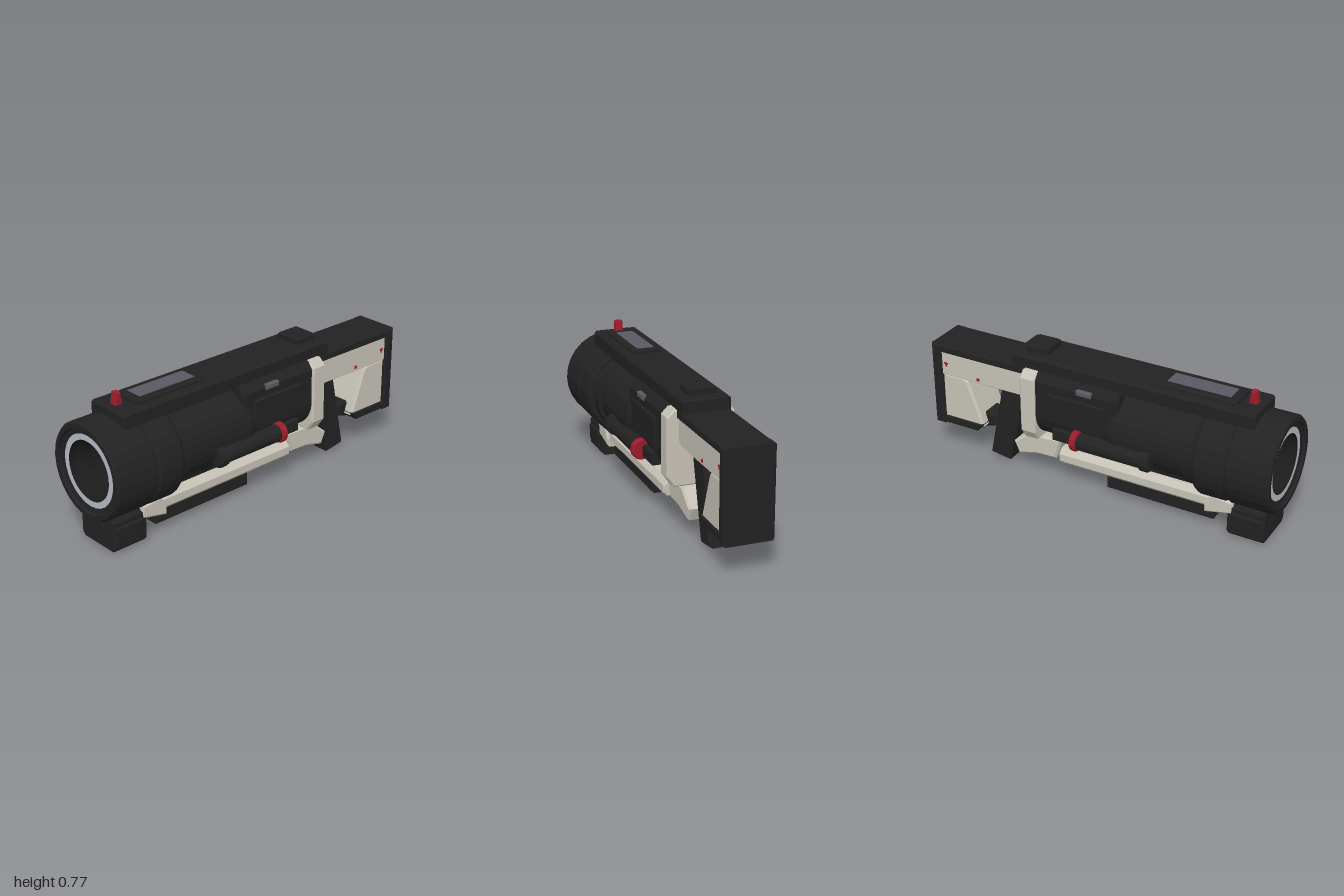
import * as THREE from 'three';

const mat = (name, color) => {
  const m = new THREE.MeshStandardMaterial({ color });
  m.name = name;
  return m;
};

export function createModel() {
  const root = new THREE.Group();
  root.name = 'launcher';
  const black = mat('black', 0x222222);
  const dark = mat('dark black', 0x1b1b1c);
  const cream = mat('cream', 0xc6c2b6);
  const red = mat('red', 0x9c1c2b);
  const silver = mat('silver', 0xb8bfc9);
  const grey = mat('grey', 0x5a5862);

  const add = (name, geo, material) => {
    const m = new THREE.Mesh(geo, material);
    m.name = name;
    root.add(m);
    return m;
  };

  // Extrusion of an outline, centred in depth, with an optional chamfer kept inside the outline
  const extrude = (pts, depth, b) => {
    const shape = new THREE.Shape(pts.map(p => new THREE.Vector2(p[0], p[1])));
    const g = new THREE.ExtrudeGeometry(shape, {
      depth: depth - 2 * b, bevelEnabled: b > 0, bevelSize: b, bevelOffset: -b,
      bevelThickness: b, bevelSegments: 1, curveSegments: 1,
    });
    return g.translate(0, 0, -(depth - 2 * b) / 2);
  };
  // Side profile given as [z, y], spanning x0..x1
  const side = (name, pts, x0, x1, material, b = 0.008) =>
    add(name, extrude(pts, x1 - x0, b).rotateY(-Math.PI / 2).translate((x0 + x1) / 2, 0, 0), material);
  // Cross-section given as the right half [x, y], spanning z0..z1
  const section = (name, half, z0, z1, material, b = 0.008) => {
    const pts = [...half, ...half.map(p => [-p[0], p[1]]).reverse()];
    return add(name, extrude(pts, z1 - z0, b).translate(0, 0, (z0 + z1) / 2), material);
  };
  const rect = (z0, z1, y0, y1) => [[z0, y0], [z1, y0], [z1, y1], [z0, y1]];
  // Turned part along z, profile given as [r, z]
  const turned = (name, prof, material, n = 28, x = 0, y = 0.415) => {
    const g = new THREE.LatheGeometry(prof.map(p => new THREE.Vector2(p[0], p[1])), n)
      .rotateX(Math.PI / 2).toNonIndexed();
    g.computeVertexNormals();
    return add(name, g.translate(x, y, 0), material);
  };

  // Barrel and muzzle
  turned('rearBarrel', [[0, -0.35], [0.168, -0.35], [0.168, 0.05], [0.198, 0.12], [0.198, 0.54]], black);
  turned('barrelCollar', [[0.19, 0.525], [0.215, 0.53], [0.215, 0.57], [0.222, 0.6]], black);
  turned('muzzleRearBand', [[0.2, 0.585], [0.238, 0.59], [0.251, 0.61], [0.251, 0.74], [0.242, 0.75], [0.242, 0.775]], black);
  turned('muzzle', [[0.242, 0.765], [0.251, 0.775], [0.251, 0.985], [0.24, 1], [0.218, 1], [0.212, 0.985], [0.187, 0.98]], black);
  turned('muzzleRing', [[0.187, 0.98], [0.155, 0.98]], silver, 40);
  turned('bore', [[0.155, 0.98], [0.155, 0.95], [0.135, 0.9], [0.125, 0.72], [0.082, 0.7]], dark);
  turned('boreEnd', [[0.082, 0.7], [0, 0.7]], black);

  // Top rail, sight and cover plates
  section('topRail', [[0.125, 0.63], [0.125, 0.695], [0.111, 0.709]], -0.495, 0.86, black);
  section('displayFrame', [[0.078, 0.7], [0.078, 0.717], [0.068, 0.728]], 0.325, 0.745, black, 0.005);
  add('displayPanel', new THREE.BoxGeometry(0.094, 0.006, 0.34).translate(0, 0.728, 0.53), grey);
  section('rearSightBlock', [[0.07, 0.7], [0.07, 0.733], [0.06, 0.746]], -0.44, -0.31, black, 0.005);
  side('frontSight', [[0.78, 0.705], [0.825, 0.705], [0.815, 0.771], [0.79, 0.771]], -0.021, 0.021, red, 0.004);

  // Receiver housing with side panels, buttons and side tubes
  section('receiverHousing', [[0.135, 0.43], [0.168, 0.45], [0.168, 0.6], [0.14, 0.64]], -0.34, 0.145, black, 0.012);
  for (const s of [-1, 1]) {
    const pair = (name, pts, a, b, material, bevel) =>
      side(name, pts, Math.min(s * a, s * b), Math.max(s * a, s * b), material, bevel);
    pair('sidePanel', [[-0.26, 0.39], [0.07, 0.39], [0.085, 0.41], [0.085, 0.555], [-0.26, 0.555]], 0.14, 0.182, black, 0.006);
    pair('sideButton', rect(-0.085, 0, 0.59, 0.617), 0.15, 0.18, grey, 0.004);
    pair('tubeRearBlock', rect(-0.225, -0.09, 0.295, 0.362), 0.1, 0.185, black, 0.006);
    turned('sideTube', [[0.03, -0.07], [0.046, -0.06], [0.046, 0.3], [0.056, 0.305], [0.056, 0.345], [0.045, 0.352], [0, 0.352]], black, 12, s * 0.186, 0.336);
    turned('sideKnob', [[0, -0.097], [0.05, -0.097], [0.056, -0.09], [0.056, -0.066], [0.045, -0.06], [0, -0.06]], red, 12, s * 0.186, 0.336);
    // Painted marks on the stock
    pair('stockTriangleMark', [[-0.905, 0.537], [-0.93, 0.537], [-0.917, 0.512]], 0.113, 0.119, red, 0);
    pair('stockSquareMark', rect(-0.725, -0.709, 0.477, 0.493), 0.113, 0.119, red, 0);
  }

  // Cream collar behind the receiver
  section('rearCollar', [[0.1, 0.245], [0.14, 0.245], [0.178, 0.3], [0.178, 0.605], [0.142, 0.641]], -0.42, -0.332, cream, 0.008);

  // Underside: lower rail, guard, battery and front block
  side('underBarrelStrip', rect(0, 0.62, 0.195, 0.24), -0.08, 0.08, dark);
  section('lowerRail', [[0.1, 0.118], [0.122, 0.14], [0.122, 0.18], [0.095, 0.208]], -0.225, 0.64, cream, 0.006);
  side('frontBracket', [[0.775, 0.13], [0.775, 0.2], [0.66, 0.215], [0.615, 0.15], [0.62, 0.098]].reverse(), -0.135, 0.135, cream, 0.012);
  side('guard', [[-0.22, 0.245], [-0.42, 0.24], [-0.52, 0.16], [-0.49, 0.092], [-0.375, 0.12], [-0.26, 0.125]], -0.1, 0.1, cream, 0.012);
  side('trigger', [[-0.385, 0.27], [-0.42, 0.27], [-0.415, 0.2], [-0.395, 0.2]], -0.02, 0.02, black, 0.003);
  side('lowerBattery', rect(0.04, 0.65, 0.032, 0.125), -0.085, 0.085, black, 0.01);
  section('frontBlock', [[0.108, 0.002], [0.13, 0.024], [0.13, 0.165], [0.105, 0.195]], 0.745, 0.945, black, 0.008);
  side('frontBlockSides', rect(0.77, 0.935, 0.048, 0.142), -0.14, 0.14, black, 0.008);
  side('frontBlockPlate', rect(0.93, 0.952, 0.055, 0.135), -0.06, 0.06, black, 0.004);

  // Grip and shoulder stock
  side('grip', [[-0.45, 0.48], [-0.6, 0.48], [-0.695, 0.022], [-0.575, 0.004]], -0.065, 0.065, black, 0.014);
  side('gripLink', [[-0.63, 0.2], [-0.65, 0.255], [-0.72, 0.265], [-0.76, 0.19], [-0.72, 0.175]], -0.06, 0.06, black);
  side('stockTop', rect(-0.98, -0.41, 0.595, 0.639), -0.126, 0.126, black);
  side('stockBar', [[-0.41, 0.49], [-0.45, 0.462], [-0.95, 0.462], [-0.95, 0.605], [-0.41, 0.605]], -0.116, 0.116, cream, 0.004);
  side('stockCheek', [[-0.79, 0.452], [-0.815, 0.468], [-0.95, 0.468], [-0.95, 0.2], [-0.7, 0.2], [-0.72, 0.262]], -0.112, 0.112, cream, 0.012);
  side('stockHeel', [[-0.98, 0.167], [-0.74, 0.167], [-0.7, 0.213], [-0.98, 0.213]], -0.12, 0.12, black);
  side('buttPlate', rect(-1, -0.943, 0.165, 0.64), -0.13, 0.13, black, 0.01);

  return root;
}
